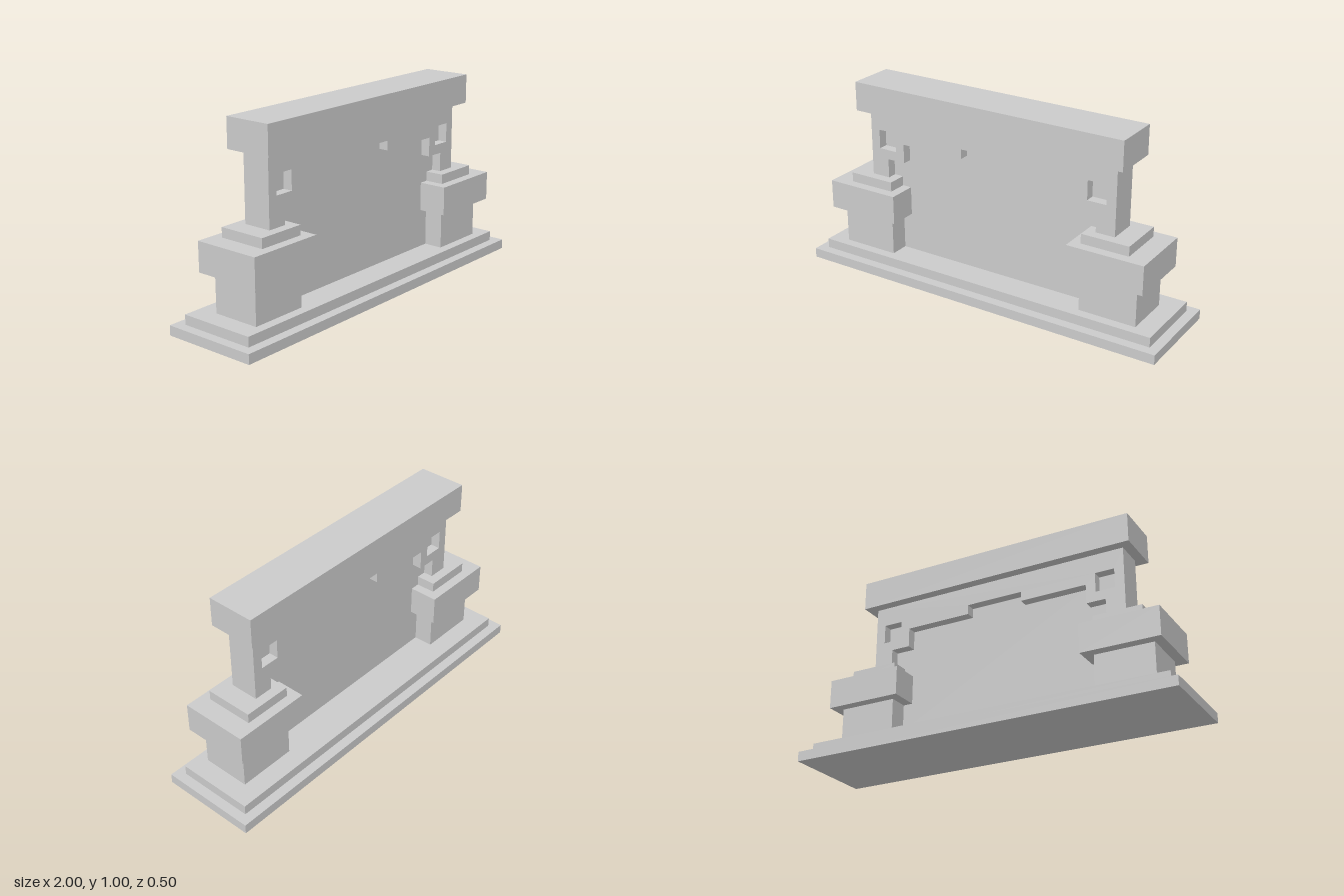
import * as THREE from 'three';

const material = new THREE.MeshStandardMaterial({ color: 0xcccccc, flatShading: true });

// Box given by its lower and upper limits on each axis
function block(name, [x0, x1], [y0, y1], [z0, z1]) {
  const mesh = new THREE.Mesh(new THREE.BoxGeometry(x1 - x0, y1 - y0, z1 - z0), material);
  mesh.position.set((x0 + x1) / 2, (y0 + y1) / 2, (z0 + z1) / 2);
  mesh.name = name;
  return mesh;
}

// Stepped arch with a square opening above each leg
function archFrame() {
  const half = [[0.15, 0.75], [0.15, 0.7], [0.5, 0.7], [0.5, 0.6], [0.6, 0.6], [0.6, 0.5], [0.7, 0.5], [0.7, 0.85]];
  const mirrored = half.map(([x, y]) => [-x, y]).reverse();
  const shape = new THREE.Shape([...half, ...mirrored].map(([x, y]) => new THREE.Vector2(x, y)));
  for (const x of [-0.6, 0.6]) {
    const hole = new THREE.Path();
    hole.moveTo(x - 0.05, 0.65);
    hole.lineTo(x - 0.05, 0.75);
    hole.lineTo(x + 0.05, 0.75);
    hole.lineTo(x + 0.05, 0.65);
    hole.closePath();
    shape.holes.push(hole);
  }
  const mesh = new THREE.Mesh(new THREE.ExtrudeGeometry(shape, { depth: 0.15, bevelEnabled: false }), material);
  mesh.position.z = -0.05;
  mesh.name = 'archFrame';
  return mesh;
}

// Pier: shaft, wide block and cap; side is +1 for left, -1 for right
function pier(side) {
  const group = new THREE.Group();
  group.name = side > 0 ? 'leftPier' : 'rightPier';
  const span = (a, b) => (side > 0 ? [a, b] : [-b, -a]);
  group.add(
    block('pierShaft', span(0.55, 0.85), [0.1, 0.3], [-0.1, 0.15]),
    block('pierBlock', span(0.5, 0.9), [0.3, 0.45], [-0.15, 0.2]),
    block('pierCap', span(0.55, 0.8), [0.45, 0.5], [-0.1, 0.15])
  );
  return group;
}

export function createModel() {
  const model = new THREE.Group();
  model.name = 'steppedGateway';
  model.add(
    // Two-step base
    block('baseSlab', [-1, 1], [0, 0.05], [-0.25, 0.25]),
    block('baseStep', [-0.95, 0.95], [0.05, 0.1], [-0.2, 0.2]),
    // Thin wall recessed inside the arch on both faces
    block('recessedPanel', [-0.66, 0.66], [0.1, 0.8], [0, 0.05]),
    pier(1),
    pier(-1),
    archFrame(),
    // Heavy top beam
    block('lintel', [-0.75, 0.75], [0.85, 1], [-0.1, 0.15])
  );
  return model;
}
